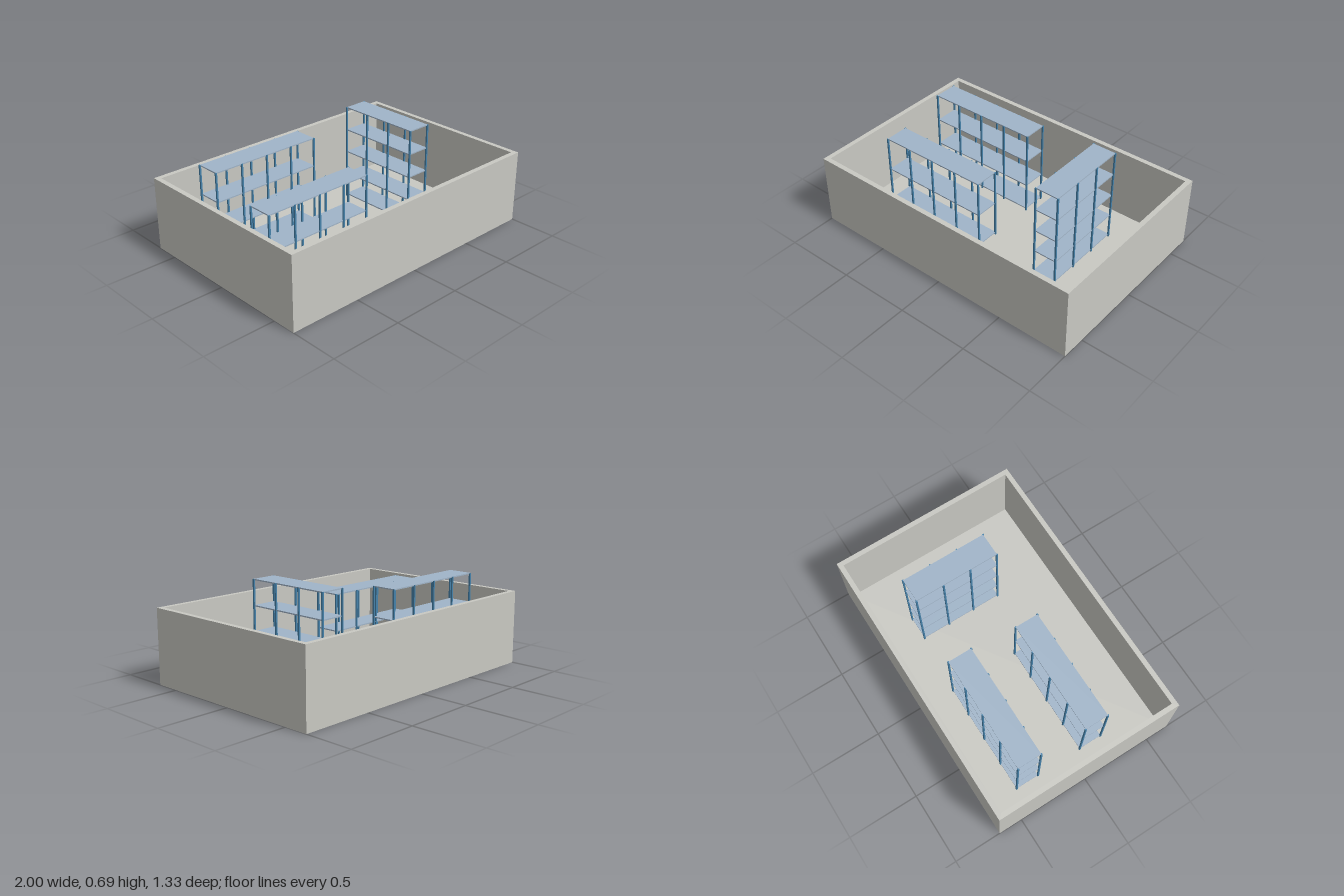
import * as THREE from 'three';

export function createModel() {
  const concrete = new THREE.MeshStandardMaterial({ color: 0xc8c8c2 });
  concrete.name = 'concrete grey';
  const boardBlue = new THREE.MeshStandardMaterial({ color: 0xa0b4c8 });
  boardBlue.name = 'pale blue board';
  const postBlue = new THREE.MeshStandardMaterial({ color: 0x4682aa });
  postBlue.name = 'steel blue post';

  const W = 2, D = 4 / 3, H = 0.505, WALL = 1 / 30, FLOOR = 0.005;
  const POST = 0.011, BOARD = 0.008, DEPTH = 1 / 6, BAY = 0.2;

  function addBox(parent, name, material, size, position) {
    const mesh = new THREE.Mesh(new THREE.BoxGeometry(...size), material);
    mesh.name = name;
    mesh.position.set(...position);
    parent.add(mesh);
  }

  // Shelving rack along x, with boards between rows of upright posts
  function makeRack(name, bays, gaps, spacing) {
    const rack = new THREE.Group();
    rack.name = name;
    const length = bays * BAY;
    const first = 0.0235;
    const top = first + gaps * spacing;
    for (let i = 0; i <= gaps; i++) {
      addBox(rack, 'shelfBoard', boardBlue, [length, BOARD, DEPTH],
        [0, first + i * spacing - BOARD / 2, 0]);
    }
    const postHeight = top - 0.001 - FLOOR;
    for (let i = 0; i <= bays; i++) {
      for (const side of [-1, 1]) {
        addBox(rack, 'post', postBlue, [POST, postHeight, POST],
          [-length / 2 + i * BAY, FLOOR + postHeight / 2, side * DEPTH / 2]);
      }
    }
    return rack;
  }

  const model = new THREE.Group();
  model.name = 'storageRoom';

  // Open-topped room: floor slab and one continuous ring of walls
  addBox(model, 'floor', concrete, [W, FLOOR, D], [0, FLOOR / 2, 0]);
  const rectangle = (shape, w, d) => shape
    .moveTo(-w / 2, -d / 2).lineTo(w / 2, -d / 2)
    .lineTo(w / 2, d / 2).lineTo(-w / 2, d / 2).closePath();
  const outline = rectangle(new THREE.Shape(), W, D);
  outline.holes.push(rectangle(new THREE.Path(), W - 2 * WALL, D - 2 * WALL));
  const wallGeometry = new THREE.ExtrudeGeometry(outline, { depth: H - FLOOR, bevelEnabled: false });
  wallGeometry.rotateX(-Math.PI / 2);
  const walls = new THREE.Mesh(wallGeometry, concrete);
  walls.name = 'walls';
  walls.position.y = FLOOR;
  model.add(walls);

  // Two long racks on the right, one tall rack turned across the left
  const backRack = makeRack('backRack', 4, 3, 0.2);
  backRack.position.set(-5 / 12, 0, -1 / 3);
  const frontRack = makeRack('frontRack', 4, 2, 0.25);
  frontRack.position.set(-5 / 12, 0, 1 / 6);
  const tallRack = makeRack('tallRack', 3, 4, 1 / 6);
  tallRack.rotation.y = Math.PI / 2;
  tallRack.position.set(0.5, 0, -1 / 12);
  model.add(backRack, frontRack, tallRack);

  return model;
}
